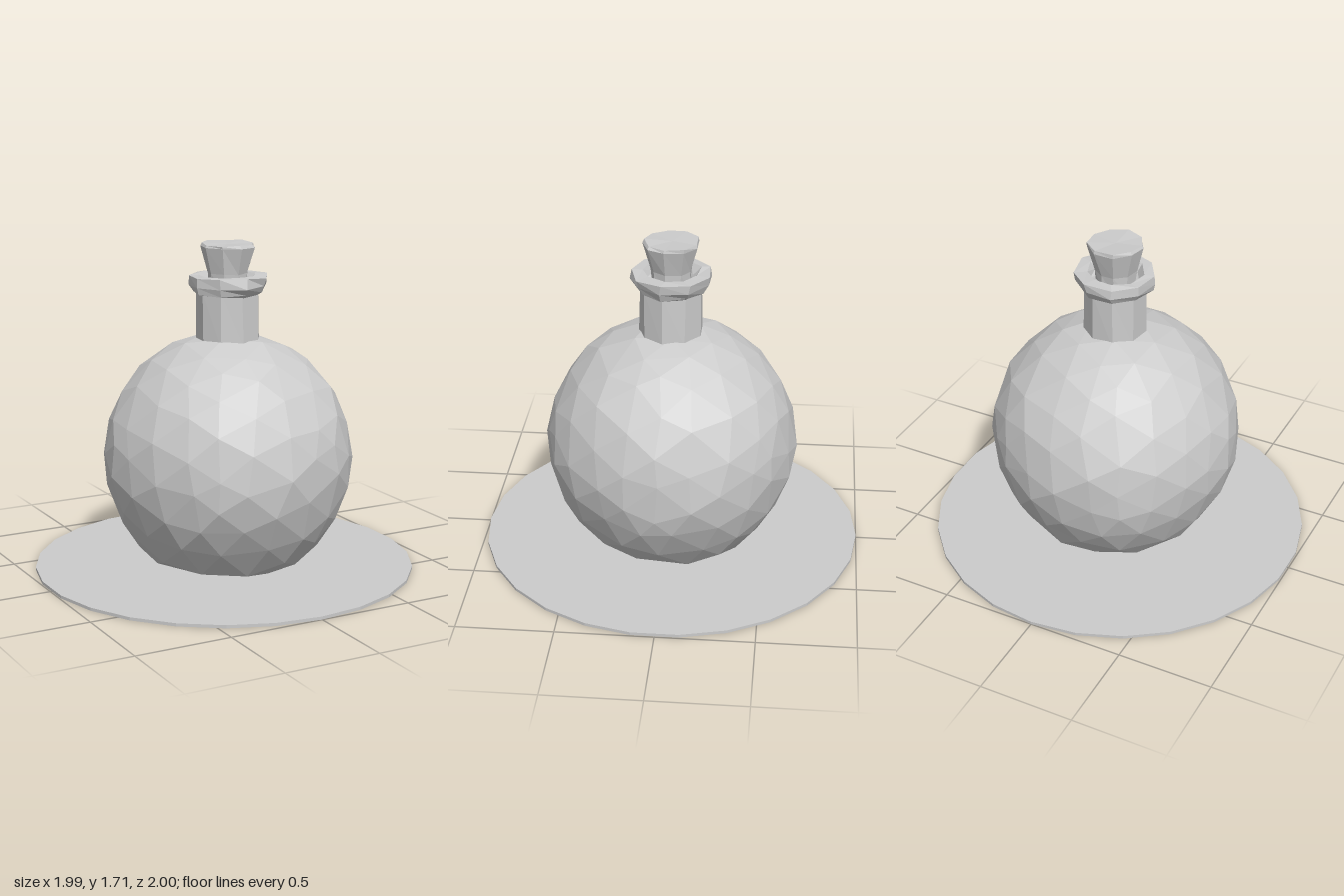
import * as THREE from 'three';

const material = new THREE.MeshStandardMaterial({ color: 0xcccccc, flatShading: true, side: THREE.DoubleSide });

// Repeatable offset in [-1, 1] that depends only on the position, so shared corners stay joined
function hash(x, y, z, seed) {
  const r = (v) => Math.round(v * 1000);
  const s = Math.sin(r(x) * 12.9898 + r(y) * 78.233 + r(z) * 37.719 + seed * 4.137) * 43758.5453;
  return 2 * (s - Math.floor(s)) - 1;
}

// Shift each vertex by a small amount for a hand-chiselled look
function roughen(geometry, amount, amountY = amount) {
  const p = geometry.attributes.position;
  for (let i = 0; i < p.count; i++) {
    const x = p.getX(i), y = p.getY(i), z = p.getZ(i);
    p.setXYZ(i,
      x + amount * hash(x, y, z, 1),
      y + amountY * hash(x, y, z, 2),
      z + amount * hash(x, y, z, 3));
  }
  return geometry;
}

function addPart(group, name, geometry, x = 0) {
  const flat = geometry.index ? geometry.toNonIndexed() : geometry;
  flat.computeVertexNormals();
  const mesh = new THREE.Mesh(flat, material);
  mesh.name = name;
  mesh.position.x = x;
  group.add(mesh);
}

// Turned part from [radius, height] pairs, listed from bottom to top
function turned(points, sides) {
  return new THREE.LatheGeometry(points.map(([r, y]) => new THREE.Vector2(r, y)), sides);
}

// Faceted round body with a flat underside
function bodyGeometry() {
  const radius = 0.655, centre = 0.588, base = 0.03;
  const geometry = new THREE.IcosahedronGeometry(radius, 3);
  geometry.rotateX(0.35).rotateY(0.5);
  roughen(geometry, 0.026);
  const p = geometry.attributes.position;
  const v = new THREE.Vector3();
  for (let i = 0; i < p.count; i++) {
    // Bring the shifted vertices back near the sphere
    v.fromBufferAttribute(p, i);
    v.setLength(THREE.MathUtils.lerp(v.length(), radius + 0.004, 0.75));
    v.y += centre;
    // Widen the foot a little and flatten it
    if (v.y < 0.2) {
      const k = 1 + 0.08 * (0.2 - Math.max(v.y, base)) / (0.2 - base);
      v.x *= k;
      v.z *= k;
    }
    p.setXYZ(i, v.x, Math.max(v.y, base), v.z);
  }
  return geometry;
}

export function createModel() {
  const group = new THREE.Group();
  group.name = 'corkedFlask';
  const axis = 0.022;

  // Thin round ground plate
  const plate = new THREE.CylinderGeometry(1, 1, 0.016, 26);
  plate.translate(0, 0.008, 0);
  addPart(group, 'groundPlate', plate);

  addPart(group, 'flaskBody', bodyGeometry(), axis);

  // Neck
  addPart(group, 'neck', roughen(turned([[0.165, 1.19], [0.162, 1.47]], 9), 0.005), axis);

  // Chunky lip with a shallow recess around the cork
  const lip = turned([
    [0.155, 1.45], [0.185, 1.46], [0.208, 1.495], [0.205, 1.545],
    [0.15, 1.548], [0.12, 1.51], [0.09, 1.5],
  ], 9);
  addPart(group, 'lip', roughen(lip, 0.01, 0.007), axis);

  // Tapered cork
  const cork = turned([[0, 1.46], [0.098, 1.46], [0.108, 1.56], [0.143, 1.695], [0.138, 1.71], [0, 1.71]], 9);
  addPart(group, 'cork', roughen(cork, 0.006, 0.004), axis);

  return group;
}
